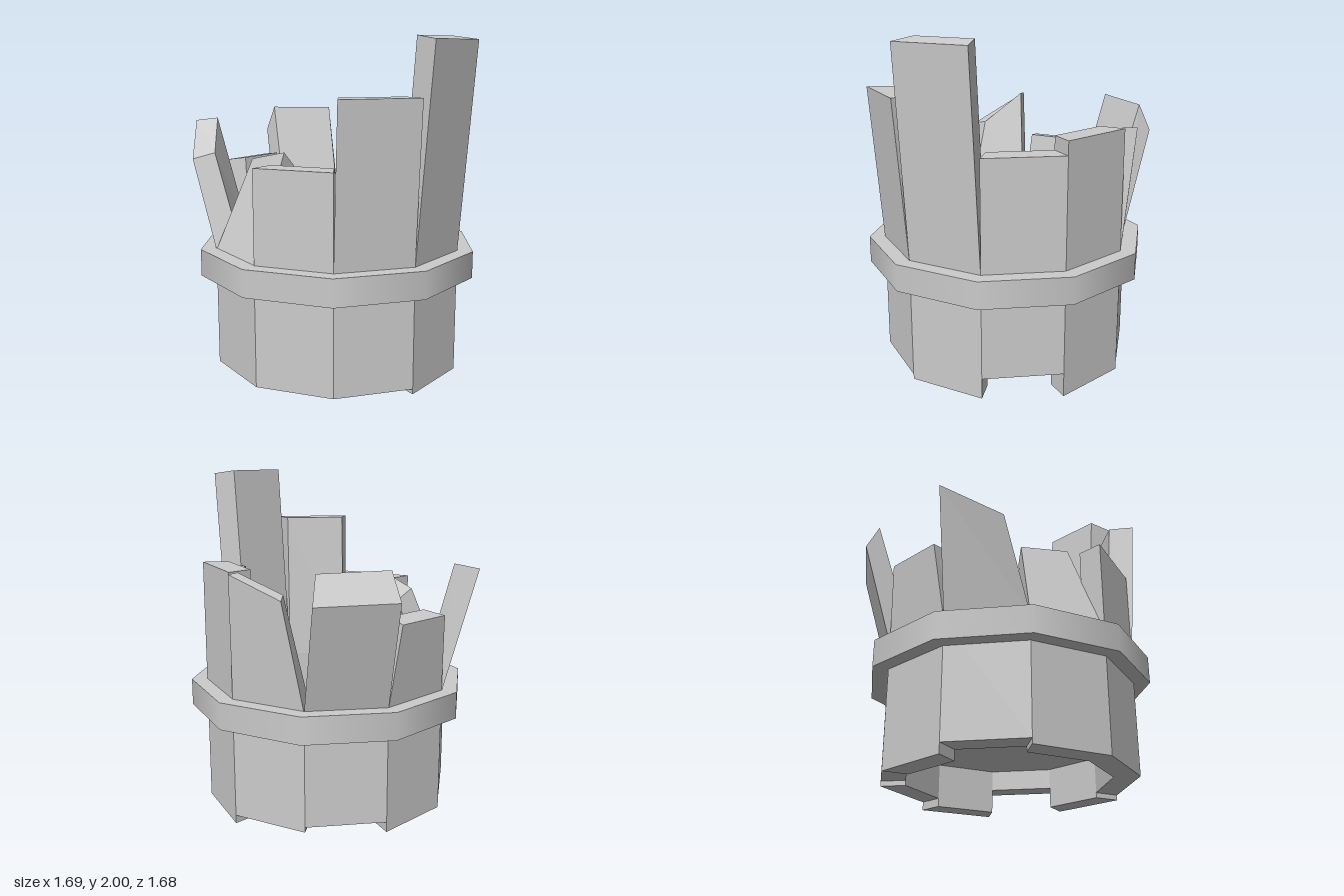
import * as THREE from 'three';
import { mergeGeometries } from 'three/addons/utils/BufferGeometryUtils.js';

const SIDES = 10, OUTER = 0.75, INNER = 0.6, CENTRE_Z = 0.03, BEND_Y = 0.75;

// Staves in order around the barrel, starting at +x and turning towards +z.
// Whole staves: bottom, top and outward lean. Broken staves: bottom and the four top
// corners (outer start, outer end, inner end, inner start).
const STAVES = [
  { bottom: 0.0, top: 1.48, lean: 0 },
  { bottom: 0.14, top: 1.4, lean: 0 },
  { bottom: 0.02, top: 1.98, lean: 0.097, rise: 0.02 },
  { bottom: 0.05, top: 1.68, lean: 0.07 },
  { bottom: 0.05, top: 1.3, lean: 0 },
  { bottom: 0.05, corners: [[-0.5, 1.36, 0.04], [-0.42, 1.29, -0.28], [-0.35, 1.22, -0.23], [-0.42, 1.28, 0.04]] },
  { bottom: 0.08, corners: [[-0.6, 1.28, -0.6], [-0.34, 1.48, -0.84], [-0.29, 1.5, -0.7], [-0.48, 1.31, -0.535]] },
  { bottom: 0.02, corners: [[-0.18, 1.22, -0.73], [0.18, 1.22, -0.73], [0.15, 1.24, -0.6], [-0.15, 1.24, -0.6]] },
  { bottom: 0.08, corners: [[0.32, 1.37, -0.84], [0.69, 1.36, -0.57], [0.63, 1.52, -0.53], [0.31, 1.53, -0.76]] },
  { bottom: 0.05, corners: [[0.69, 1.36, -0.33], [0.8, 1.48, -0.03], [0.72, 1.48, -0.01], [0.63, 1.38, -0.28]] },
];

// Wedge-shaped cross-section of stave k at height y, pushed outward by lean
function section(k, y, lean = 0, rise = 0) {
  const step = (Math.PI * 2) / SIDES, mid = (k + 0.5) * step;
  return [[OUTER, 0], [OUTER, 1], [INNER, 1], [INNER, 0]].map(([r, side]) => {
    const a = (k + side) * step;
    return [
      r * Math.cos(a) + lean * Math.cos(mid),
      y + (r === INNER ? rise : 0),
      r * Math.sin(a) + lean * Math.sin(mid) + CENTRE_Z,
    ];
  });
}

// Closed solid through a stack of four-cornered sections
function loft(sections) {
  const pos = [];
  const quad = (a, b, c, d) => pos.push(...a, ...b, ...c, ...a, ...c, ...d);
  for (let s = 0; s < sections.length - 1; s++) {
    const lo = sections[s], hi = sections[s + 1];
    for (let i = 0; i < 4; i++) {
      const j = (i + 1) % 4;
      quad(lo[i], hi[i], hi[j], lo[j]);
    }
  }
  quad(...sections[0]);
  quad(...[...sections[sections.length - 1]].reverse());
  const geo = new THREE.BufferGeometry();
  geo.setAttribute('position', new THREE.Float32BufferAttribute(pos, 3));
  geo.computeVertexNormals();
  return geo;
}

// Ten-sided band with a rectangular profile and crisp rims
function bandGeometry(inner, outer, y0, y1) {
  const p = [[outer, y0], [outer, y1], [inner, y1], [inner, y0]].map(([x, y]) => new THREE.Vector2(x, y));
  return mergeGeometries(p.map((a, i) =>
    new THREE.LatheGeometry([a, p[(i + 1) % 4]], SIDES, Math.PI / 2)));
}

export function createModel() {
  const model = new THREE.Group();
  model.name = 'brokenBarrel';
  const flat = new THREE.MeshStandardMaterial({ color: 0xcccccc, flatShading: true });
  const smooth = new THREE.MeshStandardMaterial({ color: 0xcccccc });
  const add = (name, geometry, material) => {
    const mesh = new THREE.Mesh(geometry, material);
    mesh.name = name;
    model.add(mesh);
    return mesh;
  };

  // Staves: straight up to the hoop, then bent or splintered above it
  STAVES.forEach((s, k) => {
    const top = s.corners || section(k, s.top, s.lean, s.rise);
    add(`stave${k + 1}`, loft([section(k, s.bottom), section(k, BEND_Y), top]), flat);
  });

  // Hoop around the middle
  add('hoop', bandGeometry(0.74, 0.843, 0.6, 0.76), smooth).position.z = CENTRE_Z;

  // Barrel floor, set up inside the staves
  const floor = add('floor', new THREE.CylinderGeometry(0.61, 0.61, 0.08, SIDES), flat);
  floor.rotation.y = Math.PI / 2;
  floor.position.set(0, 0.3, CENTRE_Z);

  return model;
}
